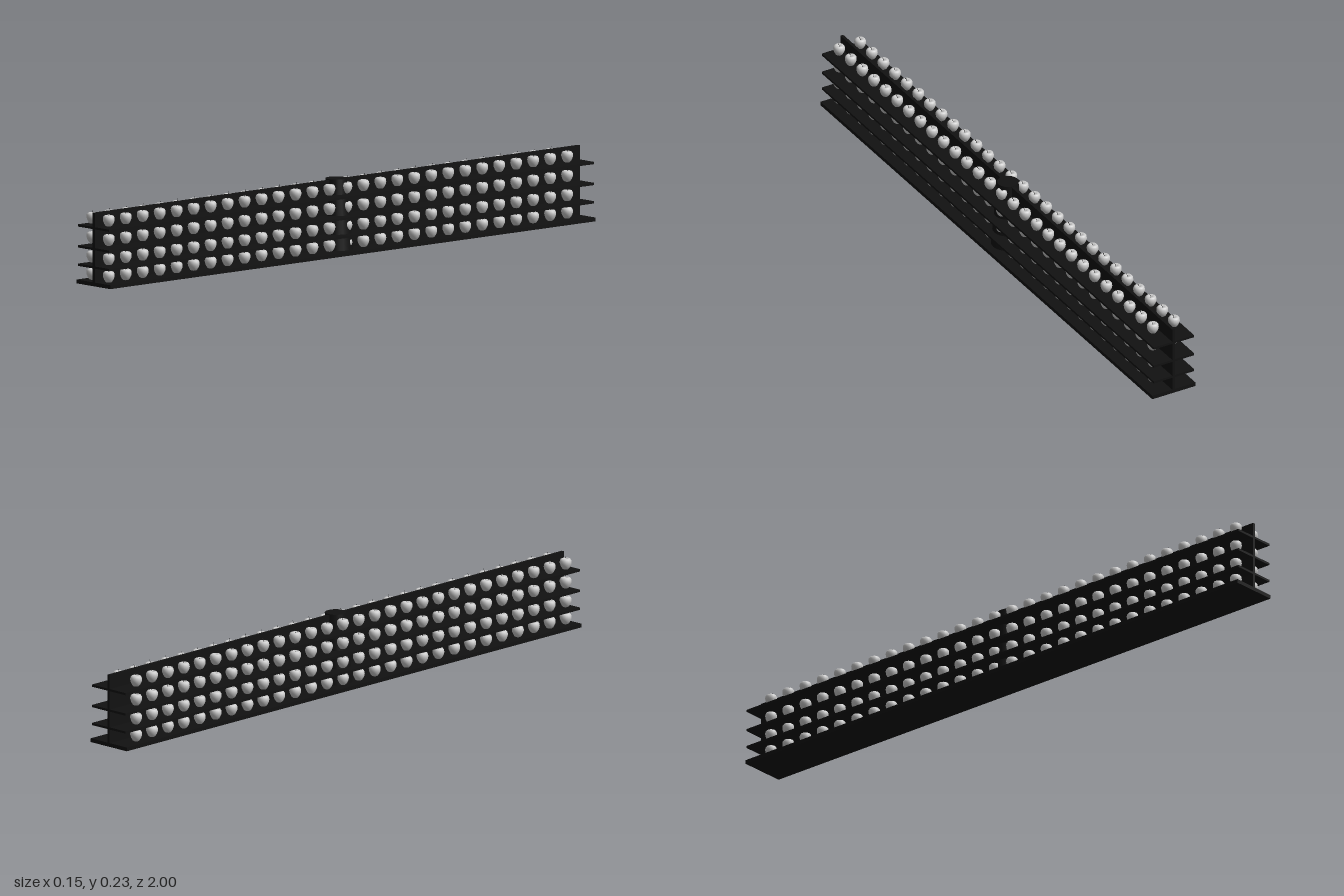
import * as THREE from 'three';

const dark = new THREE.MeshStandardMaterial({ color: 0x111111 });
const grey = new THREE.MeshStandardMaterial({ color: 0xcccccc, side: THREE.DoubleSide });

function addBoard(group, name, width, bottom, top, x) {
  const board = new THREE.Mesh(new THREE.BoxGeometry(width, top - bottom, 2), dark);
  board.name = name;
  board.position.set(x, (bottom + top) / 2, 0);
  group.add(board);
}

export function createModel() {
  const model = new THREE.Group();
  model.name = 'fruitShelf';

  // Base, three shelves and the thin wall along the middle
  addBoard(model, 'base', 0.154, 0, 0.012, -0.001);
  [[0.055, 0.062], [0.112, 0.119], [0.177, 0.184]].forEach(([bottom, top]) =>
    addBoard(model, 'shelf', 0.144, bottom, top, -0.001));
  addBoard(model, 'centreWall', 0.01, 0.01, 0.228, 0);

  // Tapered column at mid length
  const column = new THREE.Mesh(new THREE.CylinderGeometry(0.033, 0.052, 0.221, 24), dark);
  column.name = 'column';
  column.position.set(0, 0.1205, 0);
  model.add(column);

  // Apple profile with a dimple at the top, widest above the middle
  const profile = new THREE.SplineCurve([
    [0, 0.001], [0.006, 0], [0.011, 0.003], [0.0165, 0.013], [0.0185, 0.022],
    [0.0165, 0.031], [0.010, 0.0345], [0.004, 0.032], [0, 0.029],
  ].map(([r, y]) => new THREE.Vector2(r, y))).getPoints(12);
  profile.forEach((p) => { p.x = Math.max(p.x, 0); });
  const appleGeometry = new THREE.LatheGeometry(profile, 14);

  // Short curved stem
  const stemGeometry = new THREE.TubeGeometry(new THREE.QuadraticBezierCurve3(
    new THREE.Vector3(0, 0.029, 0),
    new THREE.Vector3(0, 0.037, 0),
    new THREE.Vector3(0.004, 0.041, 0.001),
  ), 3, 0.0007, 4);

  // Four levels of apples in a row on each side of the wall
  for (const level of [0.012, 0.066, 0.126, 0.186]) {
    for (const x of [-0.045, 0.03]) {
      for (let i = 0; i < 28; i++) {
        const apple = new THREE.Group();
        apple.name = 'apple';
        const body = new THREE.Mesh(appleGeometry, grey);
        body.name = 'appleBody';
        const stem = new THREE.Mesh(stemGeometry, dark);
        stem.name = 'appleStem';
        apple.add(body, stem);
        apple.position.set(x, level, 0.965 - 0.07 * i);
        model.add(apple);
      }
    }
  }
  return model;
}
